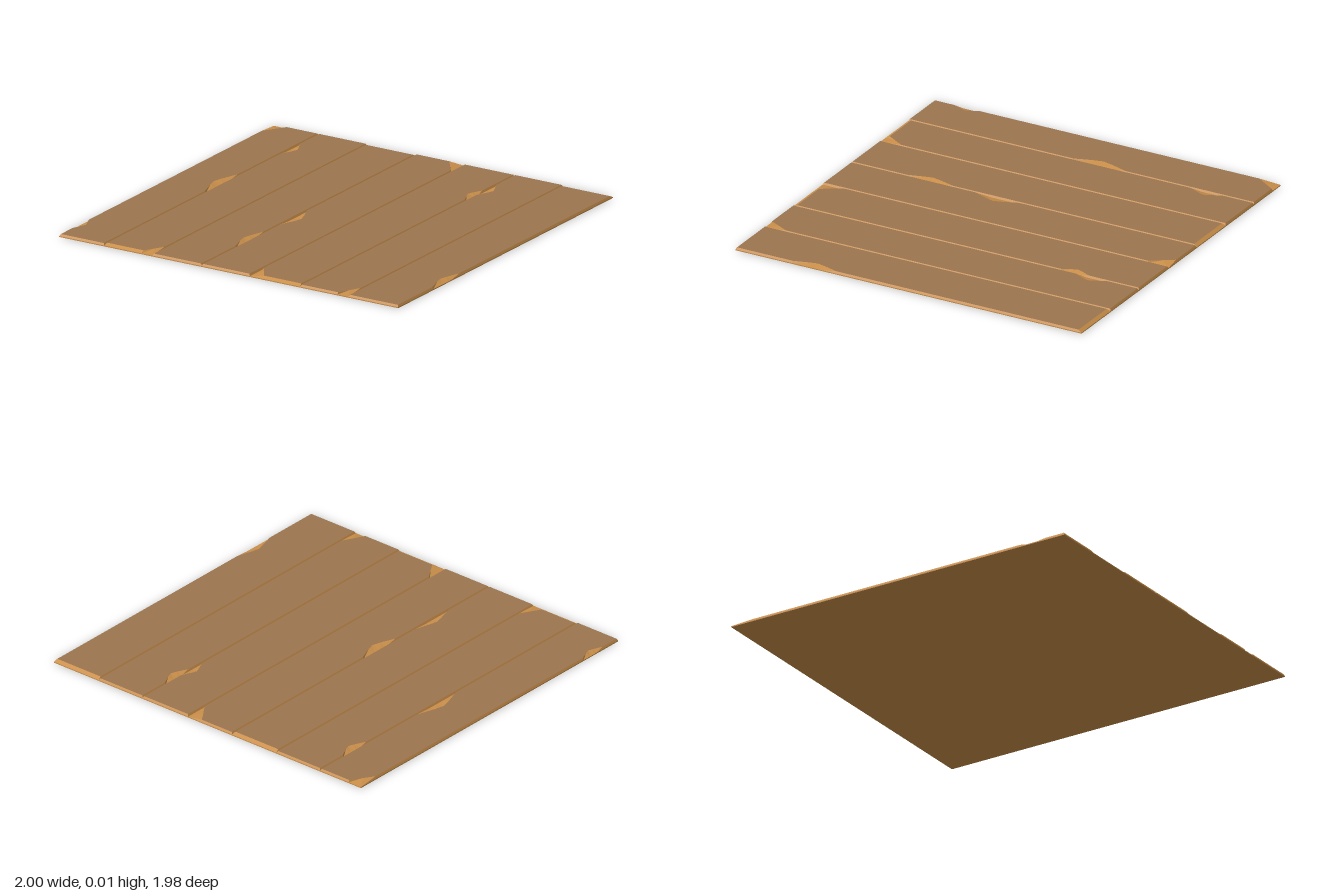
import * as THREE from 'three';

const H = 0.015, LIP = 0.005, BEVEL = 0.006, Z = 0.99;
const SEAMS = [-1, -0.735, -0.45, -0.16, 0.125, 0.422, 0.707, 1];

// Per plank: worn edges [side, z, half length, depth], chipped corners [side, end, width, length], worn ends
const PLANKS = [
  { bites: [[-1, 0.8, 0.075, 0.035], [1, -0.1, 0.15, 0.05]], corners: [[-1, -1, 0.08, 0.12]] },
  { bites: [[-1, -0.72, 0.09, 0.045]], corners: [[1, 1, 0.065, 0.12]], front: 0.02 },
  { bites: [[1, 0.54, 0.13, 0.04]], back: 0.02 },
  { bites: [[-1, 0.15, 0.125, 0.05]], corners: [[1, -1, 0.085, 0.12]] },
  { bites: [[1, -0.62, 0.08, 0.04]], corners: [[-1, 1, 0.07, 0.12]], front: 0.02 },
  { bites: [[-1, -0.72, 0.09, 0.045]], corners: [[1, 1, 0.065, 0.12]] },
  { bites: [[1, 0.54, 0.125, 0.04]], back: 0.02 },
];

function toGeometry(triangles) {
  const g = new THREE.BufferGeometry();
  g.setAttribute('position', new THREE.Float32BufferAttribute(triangles.flat(2), 3));
  g.computeVertexNormals();
  return g;
}

// Matching outer and inner outlines, running down the left edge and back up the right
function outlines(x0, x1, spec) {
  const outer = [], inner = [];
  const add = (ox, oz, ix, iz) => { outer.push([ox, oz]); inner.push([ix, iz]); };
  const inset = { '-1': spec.back ?? BEVEL, '1': spec.front ?? BEVEL };

  const corner = (side, end) => {
    const x = side < 0 ? x0 : x1, z = end * Z;
    const ix = x - side * BEVEL, iz = z - end * inset[end];
    const chip = (spec.corners ?? []).find(c => c[0] === side && c[1] === end);
    if (!chip) return add(x, z, ix, iz);
    const cx = x - side * chip[2], cz = z - end * chip[3];
    const pts = [
      [x, cz, ix, cz],
      [x, z, (ix + cx) / 2, (iz + cz) / 2],
      [cx, z, cx, iz],
    ];
    // the walk meets the long edge first at front-left and back-right
    if (side === end) pts.reverse();
    pts.forEach(p => add(...p));
  };

  const edge = side => {
    const x = side < 0 ? x0 : x1;
    const bites = spec.bites.filter(b => b[0] === side).sort((a, b) => side * (b[1] - a[1]));
    for (const [, z, half, depth] of bites) {
      for (const [t, d] of [[-1, 0], [-0.35, 0.75], [0, 1], [0.35, 0.75], [1, 0]]) {
        const pz = z - side * t * half;
        add(x, pz, x - side * Math.max(BEVEL, d * depth), pz);
      }
    }
  };

  corner(-1, -1);
  edge(-1);
  corner(-1, 1);
  corner(1, 1);
  edge(1);
  corner(1, -1);
  return { outer, inner };
}

function makePlank(x0, x1, spec, woodTop, bareWood) {
  const { outer, inner } = outlines(x0, x1, spec);
  const at = (loop, y) => loop.map(([x, z]) => [x, y, z]);
  const rings = [at(outer, 0), at(outer, LIP), at(inner, H)];

  // Side walls and sloping worn edges
  const sides = [];
  for (let r = 0; r < 2; r++) {
    const a = rings[r], b = rings[r + 1];
    for (let i = 0; i < a.length; i++) {
      const j = (i + 1) % a.length;
      sides.push([a[i], a[j], b[j]], [a[i], b[j], b[i]]);
    }
  }
  // Underside
  const [p, q, s, t] = [[x0, 0, -Z], [x1, 0, -Z], [x1, 0, Z], [x0, 0, Z]];
  sides.push([p, q, s], [p, s, t]);

  // Walking surface
  const contour = inner.map(([x, z]) => new THREE.Vector2(x, z));
  const top = THREE.ShapeUtils.triangulateShape(contour, []).map(([i, j, k]) => {
    const [a, b, c] = [contour[i], contour[j], contour[k]];
    const area = (b.x - a.x) * (c.y - a.y) - (b.y - a.y) * (c.x - a.x);
    return (area < 0 ? [i, j, k] : [i, k, j]).map(n => rings[2][n]);
  });

  const plank = new THREE.Group();
  const surface = new THREE.Mesh(toGeometry(top), woodTop);
  surface.name = 'plankTop';
  const edges = new THREE.Mesh(toGeometry(sides), bareWood);
  edges.name = 'plankEdges';
  plank.add(surface, edges);
  return plank;
}

export function createModel() {
  const woodTop = new THREE.MeshStandardMaterial({ color: 0x9c754f });
  woodTop.name = 'brown wood';
  const bareWood = new THREE.MeshStandardMaterial({ color: 0xc98e49 });
  bareWood.name = 'bare orange wood';

  const floor = new THREE.Group();
  floor.name = 'plankFloor';
  PLANKS.forEach((spec, i) => {
    const plank = makePlank(SEAMS[i], SEAMS[i + 1], spec, woodTop, bareWood);
    plank.name = `plank${i + 1}`;
    floor.add(plank);
  });
  return floor;
}
